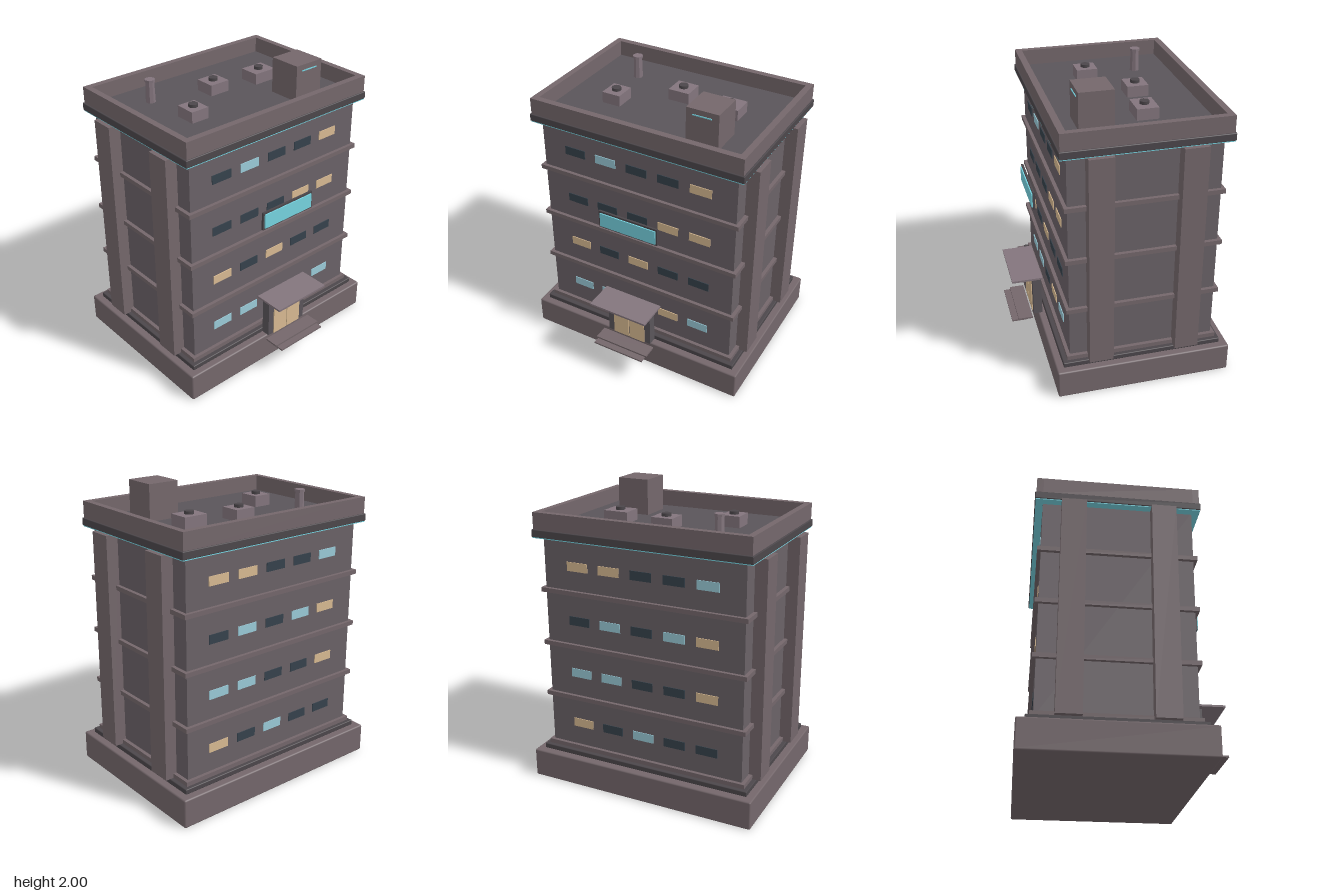
import * as THREE from 'three';
import { RoundedBoxGeometry } from 'three/addons/geometries/RoundedBoxGeometry.js';

const mat = (color) => new THREE.MeshStandardMaterial({ color });

export function createModel() {
  const root = new THREE.Group();
  const trim = mat(0x74676b), wall = mat(0x6a6267), roof = mat(0x5a555a);
  const dark = mat(0x4c474b), unit = mat(0x83757d), teal = mat(0x76d3e0);
  const glass = { D: mat(0x36424c), B: mat(0x9acbd8), T: mat(0xd8ba92) };

  const add = (name, geometry, material, x, y, z, parent = root) => {
    const mesh = new THREE.Mesh(geometry, material);
    mesh.name = name;
    mesh.position.set(x, y, z);
    parent.add(mesh);
    return mesh;
  };
  // Box given by its limits on each axis; a bevel rounds the edges
  const box = (name, material, [x0, x1], [y0, y1], [z0, z1], parent = root, bevel = 0) => {
    const size = [x1 - x0, y1 - y0, z1 - z0];
    const geometry = bevel ? new RoundedBoxGeometry(...size, 1, bevel) : new THREE.BoxGeometry(...size);
    return add(name, geometry, material, (x0 + x1) / 2, (y0 + y1) / 2, (z0 + z1) / 2, parent);
  };
  const group = (name) => {
    const g = new THREE.Group();
    g.name = name;
    root.add(g);
    return g;
  };

  // Foundation and main block
  box('foundation', trim, [-0.805, 0.805], [0, 0.197], [-0.688, 0.491], root, 0.01);
  box('plinth', dark, [-0.755, 0.755], [0.197, 0.232], [-0.635, 0.443], root, 0.005);
  box('mainBlock', wall, [-0.703, 0.703], [0.23, 1.71], [-0.587, 0.39]);

  // Floor ledges
  const ledges = group('floorLedges');
  for (let i = 0; i < 4; i++) {
    const y = 0.233 + i * 0.368;
    box('ledge', trim, [-0.728, 0.728], [y, y + 0.03], [-0.61, 0.413], ledges);
  }

  // Pilasters on both sides
  const pilasters = group('pilasters');
  for (const s of [-1, 1])
    for (const z of [0.195, -0.387])
      add('pilaster', new THREE.BoxGeometry(0.085, 1.468, 0.16), trim, s * 0.743, 0.966, z, pilasters);

  // Windows, one letter each, listed from +x to -x on the back and -x to +x on the front
  const windows = group('windows');
  const rows = {
    front: ['BBDTB', 'TDTDD', 'DDDTT', 'DBDDT'],
    back: ['TDBDD', 'BBDDT', 'DBDBT', 'TTDDB'],
  };
  const pane = new THREE.BoxGeometry(0.15, 0.06, 0.01);
  for (const side of ['front', 'back']) {
    const s = side === 'front' ? 1 : -1;
    rows[side].forEach((row, floor) => [...row].forEach((kind, i) =>
      add(side + 'Window', pane, glass[kind], s * (i - 2) * 0.229, 0.426 + floor * 0.367,
        s > 0 ? 0.39 : -0.587, windows)));
  }

  // Cornice with a thin light line, roof and parapet
  box('cornice', dark, [-0.76, 0.76], [1.705, 1.755], [-0.64, 0.443], root, 0.005);
  box('corniceLight', teal, [-0.755, 0.755], [1.699, 1.706], [-0.635, 0.439]);
  box('roof', roof, [-0.72, 0.72], [1.74, 1.76], [-0.6, 0.4]);
  const parapet = group('parapet');
  for (const s of [-1, 1]) {
    add('endParapet', new THREE.BoxGeometry(1.5, 0.112, 0.044), trim, 0, 1.81, -0.098 + s * 0.511, parapet);
    add('sideParapet', new THREE.BoxGeometry(0.042, 0.112, 0.98), trim, s * 0.729, 1.81, -0.098, parapet);
  }

  // Rooftop equipment
  const ventilation = group('ventilationUnits');
  for (const [x, z, w] of [[0, -0.23, 0.148], [0.363, -0.183, 0.172], [-0.366, 0.016, 0.13]]) {
    box('unitBox', unit, [x - w / 2, x + w / 2], [1.758, 1.835], [z - 0.071, z + 0.071], ventilation);
    add('fan', new THREE.CylinderGeometry(0.031, 0.031, 0.02, 12), dark, x, 1.845, z, ventilation);
  }
  const pipe = group('ventPipe');
  for (const [r, y0, y1] of [[0.029, 1.758, 1.9], [0.035, 1.9, 1.916]]) {
    const g = new THREE.CylinderGeometry(r, r + (y0 < 1.8 ? 0.004 : 0), y1 - y0, 8).toNonIndexed();
    g.computeVertexNormals();
    add('pipeSection', g, unit, -0.423, (y0 + y1) / 2, -0.353, pipe);
  }
  box('stairHouse', trim, [0.281, 0.502], [1.758, 2], [0.043, 0.267]);
  box('stairHouseLight', teal, [0.325, 0.455], [1.957, 1.964], [0.265, 0.272]);

  // Display panel in front of the third floor
  const panel = group('displayPanel');
  box('panelFrame', dark, [-0.218, 0.218], [1.098, 1.224], [0.497, 0.511], panel);
  box('panelScreen', teal, [-0.206, 0.206], [1.11, 1.211], [0.51, 0.519], panel);
  for (const s of [-1, 1])
    add('panelBracket', new THREE.BoxGeometry(0.02, 0.012, 0.02), dark, s * 0.15, 1.161, 0.49, panel);

  // Entrance
  const entrance = group('entrance');
  box('portal', roof, [-0.166, 0.166], [0.23, 0.54], [0.47, 0.53], entrance);
  for (const s of [-1, 1])
    add('doorLeaf', new THREE.BoxGeometry(0.118, 0.25, 0.01), glass.T, s * 0.062, 0.355, 0.531, entrance);
  box('canopy', unit, [-0.214, 0.214], [0.541, 0.555], [0.467, 0.678], entrance);
  box('upperStep', trim, [-0.2, 0.2], [0.217, 0.229], [0.545, 0.645], entrance);
  box('lowerStep', trim, [-0.19, 0.19], [0.206, 0.217], [0.59, 0.69], entrance);

  return root;
}
